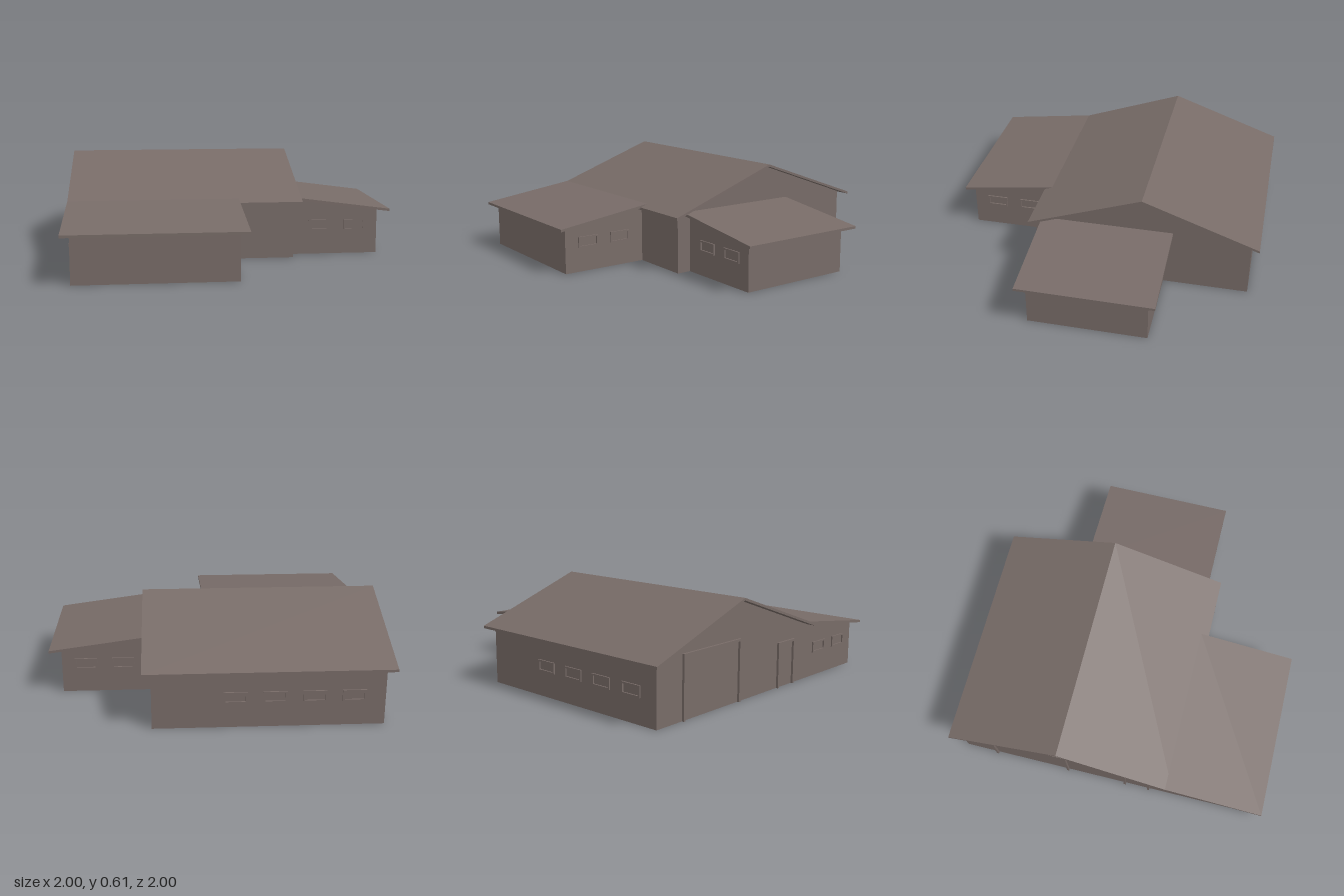
import * as THREE from 'three';

const taupe = new THREE.MeshStandardMaterial({ color: 0x776b67, side: THREE.DoubleSide });
taupe.name = 'taupe';

const toShape = (pts) => new THREE.Shape(pts.map(([a, b]) => new THREE.Vector2(a, b)));

export function createModel() {
  const model = new THREE.Group();
  model.name = 'building';

  const add = (name, geometry, parent = model) => {
    const mesh = new THREE.Mesh(geometry, taupe);
    mesh.name = name;
    parent.add(mesh);
    return mesh;
  };

  // Profile in (z, y), extruded along x from x0 to x1
  const alongX = (pts, x0, x1) =>
    new THREE.ExtrudeGeometry(toShape(pts), { depth: x1 - x0, bevelEnabled: false })
      .rotateY(-Math.PI / 2).translate(x1, 0, 0);
  // Profile in (x, y), extruded along z from z0 to z1
  const alongZ = (pts, z0, z1) =>
    new THREE.ExtrudeGeometry(toShape(pts), { depth: z1 - z0, bevelEnabled: false })
      .translate(0, 0, z0);

  // Thin walls: side walls lie at constant x, cross walls at constant z
  const sideWall = (name, x, pts) =>
    add(name, new THREE.ShapeGeometry(toShape(pts)).rotateY(-Math.PI / 2).translate(x, 0, 0));
  const crossWall = (name, z, pts) =>
    add(name, new THREE.ShapeGeometry(toShape(pts)).translate(0, 0, z));
  const rect = (a, b, h) => [[a, 0], [b, 0], [b, h], [a, h]];

  // Main hall
  const gable = [[-0.95, 0], [0.4, 0], [0.4, 0.354], [-0.28, 0.594], [-0.95, 0.357]];
  sideWall('hallLeftGable', 0.38, gable);
  sideWall('hallRightGable', -0.95, gable);
  crossWall('hallBackWall', -0.95, rect(-0.95, 0.38, 0.357));
  crossWall('hallFrontWall', 0.4, rect(-0.01, 0.38, 0.354));
  add('hallRoof', alongX([[-1, 0.341], [-0.28, 0.595], [0.44, 0.341],
    [0.44, 0.356], [-0.28, 0.61], [-1, 0.356]], -1, 0.43));

  // Front wing, open to the hall
  const wingSide = [[0.4, 0], [0.95, 0], [0.95, 0.282], [0.4, 0.356]];
  sideWall('frontWingLeftWall', -0.01, wingSide);
  sideWall('frontWingRightWall', -0.95, wingSide);
  crossWall('frontWingEndWall', 0.95, rect(-0.95, -0.01, 0.282));
  add('frontWingRoof', alongX([[0.39, 0.358], [1, 0.276], [1, 0.291], [0.39, 0.374]], -1, 0.04));

  // Side wing
  const annexSide = [[0.38, 0], [0.93, 0], [0.93, 0.282], [0.38, 0.354]];
  crossWall('sideWingFrontWall', 0.31, annexSide);
  crossWall('sideWingBackWall', -0.42, annexSide);
  sideWall('sideWingEndWall', 0.93, rect(-0.42, 0.31, 0.282));
  add('sideWingRoof', alongZ([[0.38, 0.356], [1, 0.274], [1, 0.289], [0.38, 0.372]], -0.47, 0.36));

  // Window surrounds, turned to face out of their wall
  const surround = toShape([[-0.068, -0.034], [0.068, -0.034], [0.068, 0.034], [-0.068, 0.034]]);
  surround.holes.push(toShape([[-0.057, -0.024], [-0.057, 0.024], [0.057, 0.024], [0.057, -0.024]]));
  const frameGeo = new THREE.ExtrudeGeometry(surround, { depth: 0.009, bevelEnabled: false });
  const windowAt = (name, x, z, turn) => {
    const frame = add(name, frameGeo);
    frame.position.set(x, 0.184, z);
    frame.rotation.y = turn;
  };
  for (const x of [-0.77, -0.545, -0.32, -0.095]) windowAt('hallWindow', x, -0.95, Math.PI);
  for (const x of [0.557, 0.783]) {
    windowAt('sideWingFrontWindow', x, 0.31, 0);
    windowAt('sideWingBackWindow', x, -0.42, Math.PI);
  }
  for (const z of [0.567, 0.793]) {
    windowAt('frontWingLeftWindow', -0.01, z, Math.PI / 2);
    windowAt('frontWingRightWindow', -0.95, z, -Math.PI / 2);
  }

  // Door frames set through the right wall
  const doorFrame = (name, z0, z1, h, t = 0.014) =>
    add(name, alongX([[z0, 0], [z0 + t, 0], [z0 + t, h - t], [z1 - t, h - t],
      [z1 - t, 0], [z1, 0], [z1, h], [z0, h]], -0.964, -0.942));
  doorFrame('largeDoorFrame', -0.75, -0.255, 0.37);
  doorFrame('smallDoorFrame', 0.115, 0.285, 0.28);

  return model;
}
